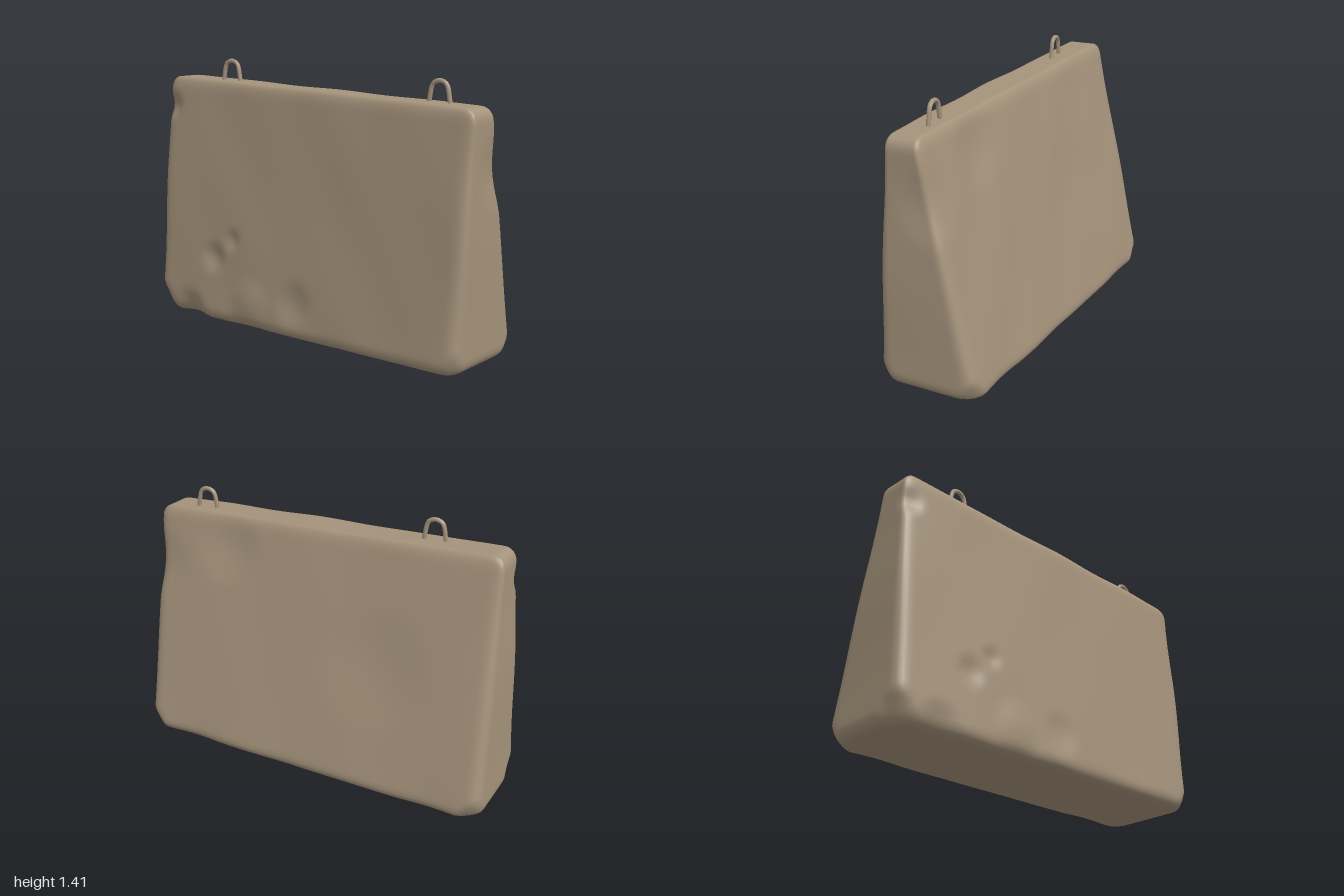
import * as THREE from 'three';
import { mergeVertices } from 'three/addons/utils/BufferGeometryUtils.js';

const lerp = THREE.MathUtils.lerp;

// Gentle irregularity of the worn surface
function wobble(x, y, z) {
  return 0.5 * Math.sin(4.1 * x + 2.3 * y + 1.1) * Math.cos(3.7 * y - 5 * z)
    + 0.3 * Math.sin(9.3 * x - 4.7 * y + 6 * z) + 0.2 * Math.cos(8.1 * y + 13 * x + 0.6);
}

// Dents and bulges: centre, radius, push direction
const dents = [
  [[-0.57, 0.36, 0.25], 0.10, [0, 0, -0.02]],
  [[-0.44, 0.47, 0.24], 0.07, [0, 0, -0.015]],
  [[-0.30, 0.15, 0.26], 0.16, [0, 0, 0.015]],
  [[0.00, 0.20, 0.26], 0.14, [0, 0, -0.015]],
  [[-1.00, 0.02, 0.27], 0.17, [0.05, 0.02, -0.03]],
  [[-0.75, 0.02, 0.27], 0.16, [0, 0.01, -0.03]],
  [[-0.92, 1.16, 0.19], 0.09, [0.01, 0, -0.02]],
  [[0.97, 0.03, 0.26], 0.10, [-0.01, 0.01, -0.02]],
  [[0.98, 0.02, -0.28], 0.12, [-0.03, 0.01, 0.03]],
  [[-0.98, 0.02, -0.28], 0.12, [0.03, 0.01, 0.03]],
  [[0.99, 0.95, -0.08], 0.22, [-0.015, 0, 0.01]],
  [[0.55, 1.10, -0.05], 0.22, [0, 0, 0.015]],
  [[-0.35, 0.65, -0.15], 0.35, [0, 0, 0.012]],
];

// Tapered slab with rounded, worn edges
function slabGeometry() {
  const half = new THREE.Vector3(1, 0.65, 0.27), r = 0.065;
  let geo = new THREE.BoxGeometry(2, 1.3, 0.54, 80, 52, 22);
  geo.deleteAttribute('uv');
  geo.deleteAttribute('normal');
  geo = mergeVertices(geo, 1e-4);
  const inner = half.clone().subScalar(r);
  const low = inner.clone().negate();
  const pos = geo.attributes.position;
  const p = new THREE.Vector3(), core = new THREE.Vector3(), c = new THREE.Vector3();
  for (let i = 0; i < pos.count; i++) {
    // Round the edges
    p.fromBufferAttribute(pos, i);
    core.copy(p).clamp(low, inner);
    p.sub(core).setLength(r).add(core);
    // Taper the cross-section and slope the top
    const v = (p.y + 0.65) / 1.3;
    const side = (p.z + 0.27) / 0.54;
    const x = p.x < 0 ? p.x * lerp(1, 0.948, v) : p.x * lerp(0.975, 0.995, v);
    const y = 0.01 + v * (1.278 - 0.036 * x);
    const z = lerp(lerp(-0.28, -0.01, v), lerp(0.27, 0.175, v), side);
    // Uneven faces, rougher towards the foot
    const n = wobble(x, y, z);
    const rough = 0.006 + 0.008 * Math.exp(-y * 9);
    p.set(x + 0.006 * n * Math.sign(x) * (Math.abs(x) > 0.9 ? 1 : 0),
      y + 0.004 * Math.abs(n) * (1 - v) + 0.004 * n * v,
      z + rough * n * (side * 2 - 1));
    for (const [at, radius, push] of dents) {
      const d = p.distanceTo(c.fromArray(at)) / radius;
      if (d < 1) p.addScaledVector(c.fromArray(push), (1 - d * d) ** 2);
    }
    p.x = THREE.MathUtils.clamp(p.x, -1, 1);
    pos.setXYZ(i, p.x, Math.max(p.y, 0.005), p.z);
  }
  geo.computeVertexNormals();
  return geo;
}

// Bent-bar lifting eye standing on the top
function liftingLoop(name, x, y, z, material) {
  const path = new THREE.CatmullRomCurve3([
    [-0.06, -0.05], [-0.052, 0.02], [-0.035, 0.085], [0, 0.1],
    [0.035, 0.085], [0.052, 0.02], [0.06, -0.05],
  ].map(([a, b]) => new THREE.Vector3(a, b, 0)));
  const loop = new THREE.Mesh(new THREE.TubeGeometry(path, 28, 0.0115, 8), material);
  loop.name = name;
  loop.position.set(x, y, z);
  loop.rotation.y = 0.08;
  return loop;
}

export function createModel() {
  const group = new THREE.Group();
  group.name = 'concreteBarrier';
  const concrete = new THREE.MeshStandardMaterial({ color: 0xa5937b });
  concrete.name = 'weathered concrete';

  const slab = new THREE.Mesh(slabGeometry(), concrete);
  slab.name = 'taperedSlab';
  group.add(slab);
  group.add(liftingLoop('rightLiftingLoop', -0.557, 1.311, 0.092, concrete));
  group.add(liftingLoop('leftLiftingLoop', 0.737, 1.262, 0.06, concrete));
  return group;
}
